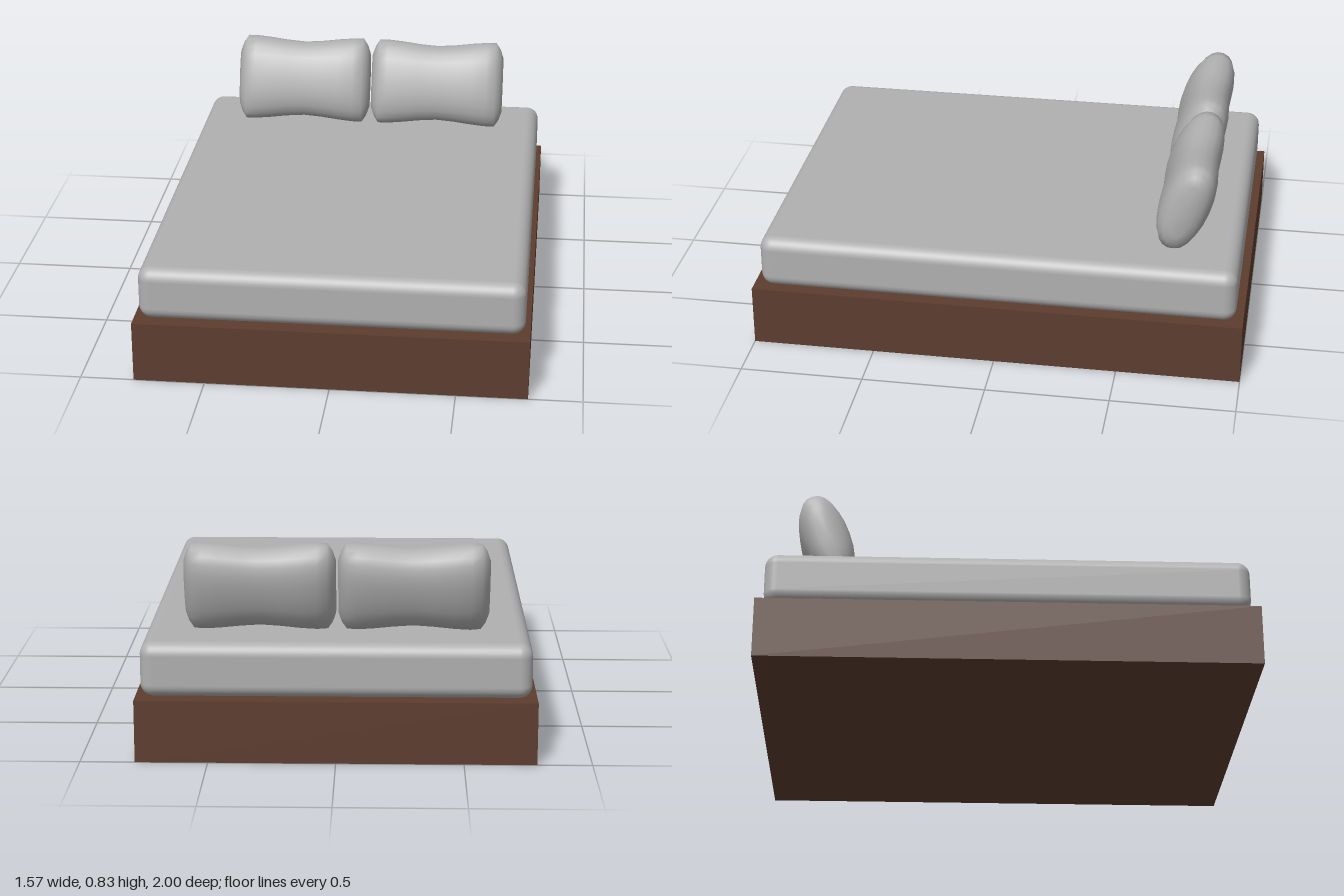
import * as THREE from 'three';
import { RoundedBoxGeometry } from 'three/addons/geometries/RoundedBoxGeometry.js';

const wood = new THREE.MeshStandardMaterial({ color: 0x5d3d2f });
wood.name = 'darkWood';
const fabric = new THREE.MeshStandardMaterial({ color: 0xb0b0b0 });
fabric.name = 'greyFabric';

function addMesh(parent, name, geometry, material, x, y, z) {
  const mesh = new THREE.Mesh(geometry, material);
  mesh.name = name;
  mesh.position.set(x, y, z);
  parent.add(mesh);
  return mesh;
}

// Pillow lofted along x: each section is a superellipse [x, half height, half thickness]
function pillowGeometry() {
  const half = [
    [0, 0.168, 0.097], [0.08, 0.174, 0.1], [0.16, 0.184, 0.102], [0.225, 0.19, 0.099],
    [0.265, 0.19, 0.086], [0.285, 0.16, 0.064], [0.298, 0.122, 0.036], [0.299, 0, 0],
  ];
  const sections = [
    ...half.slice(1).reverse().map(([x, h, t]) => [-x, h, t]),
    ...half,
  ];
  const sides = 24;
  const power = 2 / 2.3;
  const bend = (v) => Math.sign(v) * Math.abs(v) ** power;
  const positions = [];
  const indices = [];
  for (const [x, h, t] of sections) {
    for (let j = 0; j < sides; j++) {
      const a = (j / sides) * Math.PI * 2;
      positions.push(x, h * bend(Math.cos(a)), t * bend(Math.sin(a)));
    }
  }
  for (let i = 0; i < sections.length - 1; i++) {
    for (let j = 0; j < sides; j++) {
      const k = (j + 1) % sides;
      const a = i * sides + j, b = i * sides + k;
      const c = a + sides, d = b + sides;
      // Skip the collapsed half of each quad at the end points
      if (i > 0) indices.push(a, b, c);
      if (i < sections.length - 2) indices.push(b, d, c);
      if (i === 0) continue;
    }
  }
  const geometry = new THREE.BufferGeometry();
  geometry.setAttribute('position', new THREE.Float32BufferAttribute(positions, 3));
  geometry.setIndex(indices);
  geometry.computeVertexNormals();
  // End points share one outward normal
  const normal = geometry.attributes.normal;
  const last = (sections.length - 1) * sides;
  for (let j = 0; j < sides; j++) {
    normal.setXYZ(j, -1, 0, 0);
    normal.setXYZ(last + j, 1, 0, 0);
  }
  return geometry;
}

export function createModel() {
  const bed = new THREE.Group();
  bed.name = 'bed';

  // Solid plinth and soft-edged mattress
  addMesh(bed, 'bedBase', new THREE.BoxGeometry(1.57, 0.25, 2), wood, 0, 0.125, 0);
  addMesh(bed, 'mattress', new RoundedBoxGeometry(1.53, 0.22, 1.94, 4, 0.052), fabric, 0, 0.36, 0);

  // Two pillows leaning back towards the head end
  const pillow = pillowGeometry();
  for (const [name, side] of [['leftPillow', 1], ['rightPillow', -1]]) {
    const mesh = addMesh(bed, name, pillow, fabric, side * 0.303, 0.648, -0.74);
    mesh.rotation.x = -0.34;
  }
  return bed;
}
